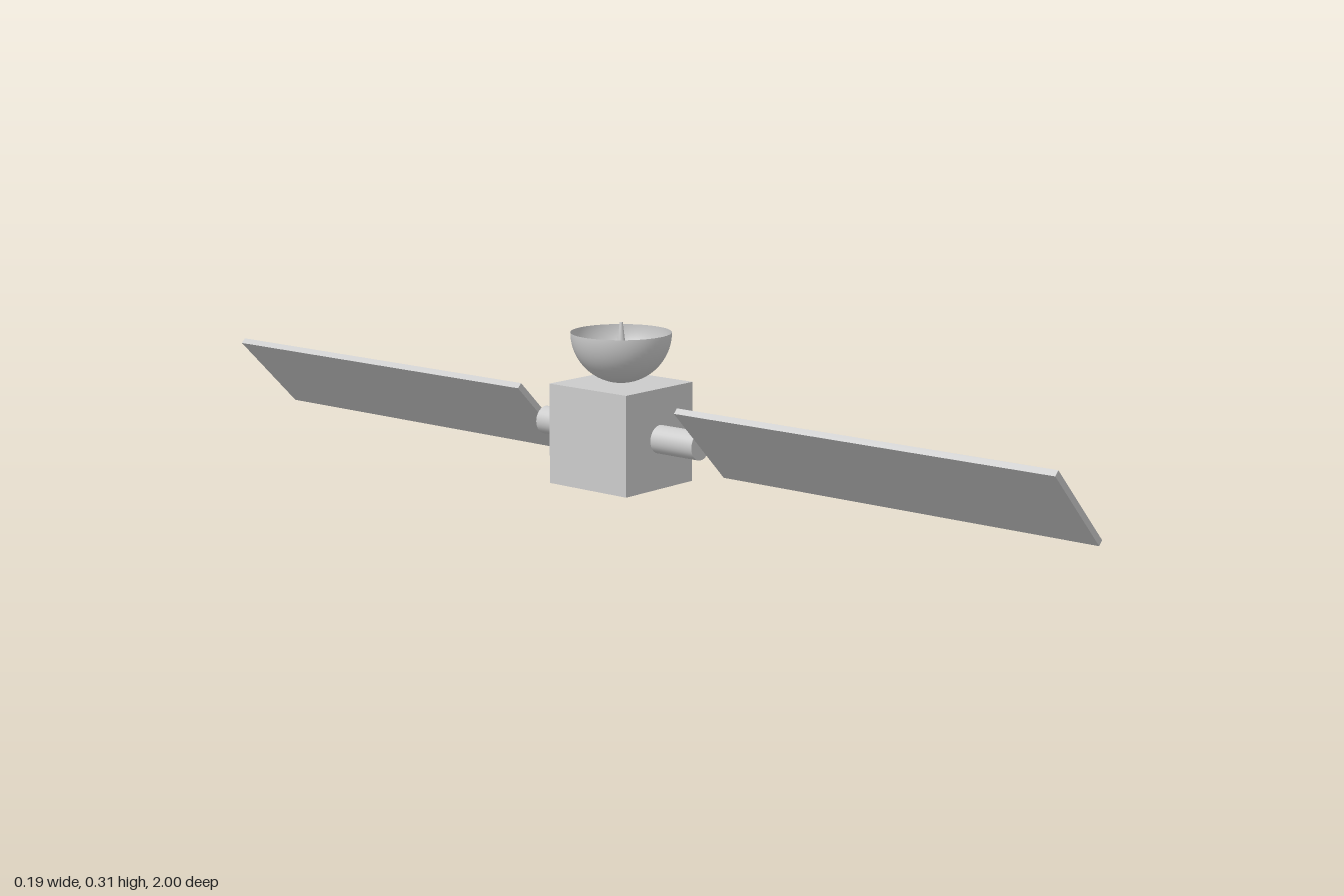
import * as THREE from 'three';

export function createModel() {
  const group = new THREE.Group();
  const grey = new THREE.MeshStandardMaterial({ color: 0xcccccc });
  const thin = new THREE.MeshStandardMaterial({ color: 0xcccccc, side: THREE.DoubleSide });
  const size = 0.192, half = size / 2;

  const add = (name, geometry, x, y, z, material = grey) => {
    const mesh = new THREE.Mesh(geometry, material);
    mesh.name = name;
    mesh.position.set(x, y, z);
    group.add(mesh);
    return mesh;
  };

  // Cubic body
  add('body', new THREE.BoxGeometry(size, size, size), 0, half, 0);

  // Arms and tilted solar panels, front and back
  const armEnd = 0.195, armLength = armEnd - half, panelLength = 1 - armEnd;
  for (const [side, s] of [['front', 1], ['back', -1]]) {
    const arm = new THREE.CylinderGeometry(0.027, 0.027, armLength, 32);
    arm.rotateX(Math.PI / 2);
    add(side + 'Arm', arm, 0, half, s * (half + armLength / 2));

    const panel = add(side + 'SolarPanel', new THREE.BoxGeometry(0.205, 0.0125, panelLength),
      0, 0.101, s * (armEnd + panelLength / 2));
    panel.rotation.z = -Math.PI * 0.247;
  }

  // Open hemispherical dish resting on the body
  const radius = 0.096, rimY = size + radius + 0.001;
  const bowl = new THREE.SphereGeometry(radius, 48, 20, 0, Math.PI * 2, Math.PI / 2, Math.PI / 2);
  add('dish', bowl, 0, rimY, 0, thin);

  // Tapered antenna in the middle of the dish
  const baseY = 0.195, tipY = 0.308;
  add('antenna', new THREE.CylinderGeometry(0.003, 0.017, tipY - baseY, 24),
    0, (baseY + tipY) / 2, 0);

  return group;
}
